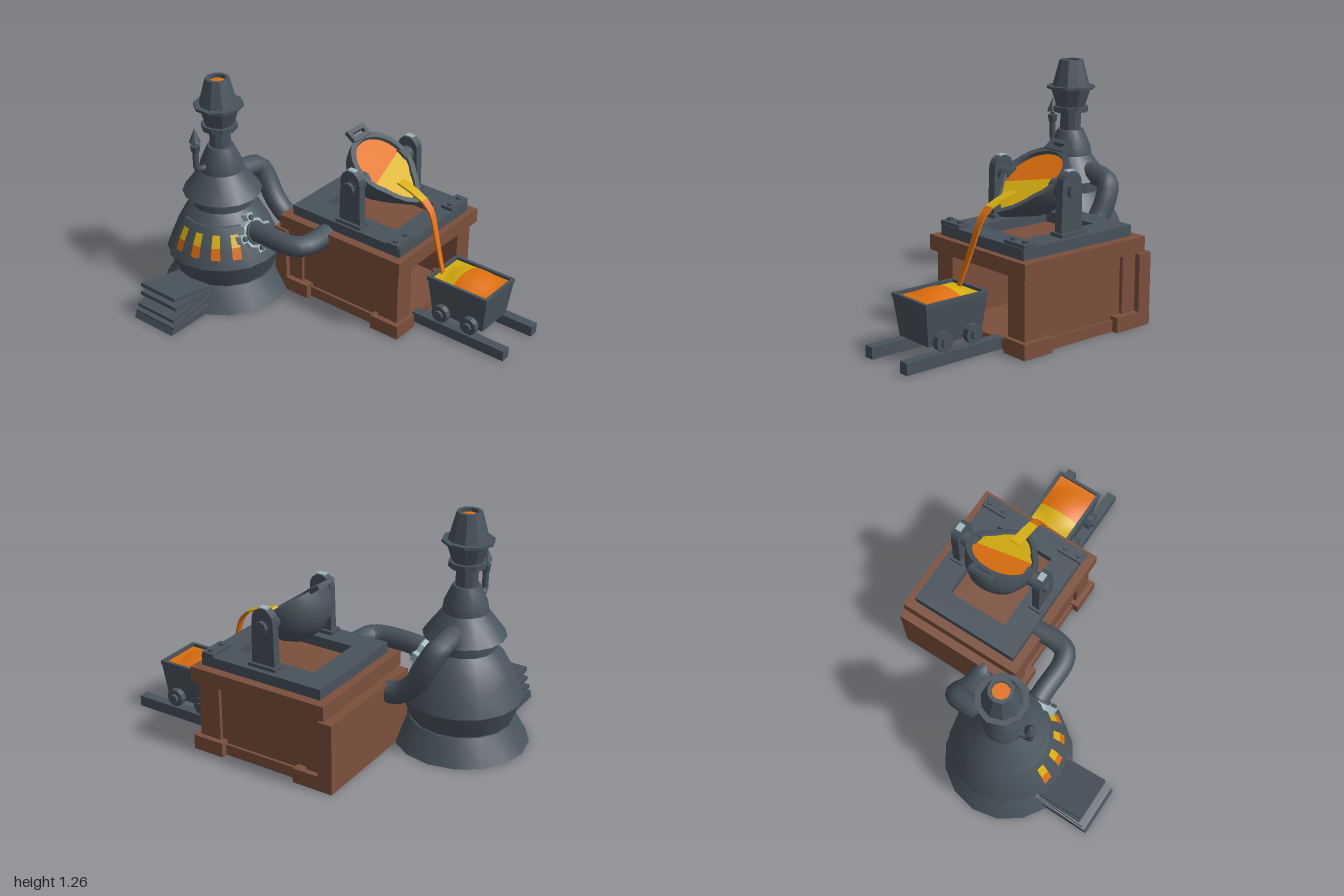
import * as THREE from 'three';
import { toCreasedNormals } from 'three/addons/utils/BufferGeometryUtils.js';

const material = (name, color, side = THREE.FrontSide) => {
  const m = new THREE.MeshStandardMaterial({ color, side });
  m.name = name;
  return m;
};
const steel = material('dark steel', 0x48535c, THREE.DoubleSide);
const pale = material('pale steel', 0x9fb6bc);
const wood = material('brown timber', 0x7c503c);
const orange = material('molten orange', 0xe0700f, THREE.DoubleSide);
const yellow = material('molten yellow', 0xd8b010, THREE.DoubleSide);

const V = (x, y, z) => new THREE.Vector3(x, y, z);

function add(parent, name, geometry, mat, x = 0, y = 0, z = 0) {
  const mesh = new THREE.Mesh(geometry, mat);
  mesh.name = name;
  mesh.position.set(x, y, z);
  parent.add(mesh);
  return mesh;
}
function group(parent, name, x = 0, y = 0, z = 0) {
  const g = new THREE.Group();
  g.name = name;
  g.position.set(x, y, z);
  parent.add(g);
  return g;
}
// Box given by its limits on each axis
function box(parent, name, mat, x0, x1, y0, y1, z0, z1) {
  return add(parent, name, new THREE.BoxGeometry(x1 - x0, y1 - y0, z1 - z0), mat,
    (x0 + x1) / 2, (y0 + y1) / 2, (z0 + z1) / 2);
}
function lathe(points, segments, start = 0, length = Math.PI * 2) {
  const g = new THREE.LatheGeometry(points.map(p => new THREE.Vector2(...p)), segments, start, length);
  return toCreasedNormals(g, 0.5);
}
function pipe(parent, name, points, radius) {
  const curve = new THREE.CatmullRomCurve3(points, false, 'centripetal');
  return add(parent, name, new THREE.TubeGeometry(curve, 20, radius, 10), steel);
}
// Cylinder lying along x
function axle(parent, name, mat, radius, length, x, y, z, sides = 12) {
  const g = new THREE.CylinderGeometry(radius, radius, length, sides).rotateZ(Math.PI / 2);
  return add(parent, name, toCreasedNormals(g, 0.6), mat, x, y, z);
}
// Flat rectangular ring lying in the xz plane, bottom at y = 0
function frame(w, d, hw, hd, height) {
  const rect = (s, a, b) => s.moveTo(-a, -b).lineTo(a, -b).lineTo(a, b).lineTo(-a, b).closePath();
  const shape = rect(new THREE.Shape(), w / 2, d / 2);
  shape.holes.push(rect(new THREE.Path(), hw / 2, hd / 2));
  return new THREE.ExtrudeGeometry(shape, { depth: height, bevelEnabled: false }).rotateX(-Math.PI / 2);
}

function buildFurnace(root) {
  const f = group(root, 'furnace', -0.14, 0, -0.64);
  const seg = Math.PI / 8;
  add(f, 'furnaceBase', lathe([[0, 0], [0.36, 0], [0.28, 0.135], [0.2, 0.135]], 16), steel);
  add(f, 'furnaceBody', lathe([[0.27, 0.13], [0.32, 0.26], [0.27, 0.38], [0.215, 0.48], [0.17, 0.53],
    [0.17, 0.6], [0.218, 0.6], [0.12, 0.73], [0.113, 0.78], [0.072, 0.87], [0.058, 0.87]], 16), steel);
  add(f, 'chimney', lathe([[0.058, 0.86], [0.058, 0.97], [0.098, 0.97], [0.098, 1.0], [0.08, 1.0],
    [0.112, 1.1], [0.135, 1.1], [0.135, 1.115], [0.105, 1.115], [0.066, 1.26], [0.046, 1.26], [0.046, 1.235]], 10), steel);
  add(f, 'chimneyGlow', new THREE.CircleGeometry(0.05, 10).rotateX(-Math.PI / 2), orange, 0, 1.24, 0);

  // Raised panel with glowing slots
  add(f, 'slotPanel', lathe([[0.3, 0.265], [0.332, 0.268], [0.282, 0.385], [0.227, 0.48], [0.2, 0.48]],
    4, -5 * seg, 4 * seg), steel);
  for (let i = 0; i < 4; i++) {
    const start = (i - 4.5) * seg - 0.085;
    const slot = (name, pts, mat) => add(f, name, lathe(pts, 1, start, 0.17), mat);
    slot('slotGlowLow', [[0.306, 0.318], [0.282, 0.38]], orange);
    slot('slotGlowHigh', [[0.282, 0.38], [0.247, 0.443]], yellow);
  }

  // Small side vent
  const vent = group(f, 'sideVent');
  pipe(vent, 'ventPipe', [V(-0.08, 0.77, -0.02), V(-0.14, 0.77, -0.02), V(-0.167, 0.79, -0.02), V(-0.17, 0.83, -0.02), V(-0.17, 0.9, -0.02)], 0.017);
  add(vent, 'ventCap', lathe([[0, 0.885], [0.022, 0.885], [0.028, 0.925], [0.012, 0.925], [0.012, 0.945],
    [0.032, 0.945], [0, 1.025]], 8), steel, -0.17, 0, -0.02);

  // Fanned stack of plates at the side
  [[-0.68, 0.195, -0.4, 0.135], [-0.68, 0.138, -0.4, 0.12], [-0.705, 0.075, -0.4, 0.125], [-0.715, 0.035, -0.4, 0.095]].forEach(([x0, y0, x1, y1], i) => {
    const plate = add(f, 'bellowsPlate', new THREE.BoxGeometry(Math.hypot(x1 - x0, y1 - y0), 0.022, 0.25 + 0.01 * i), steel,
      (x0 + x1) / 2 + 0.14, (y0 + y1) / 2, 0.005);
    plate.rotation.z = Math.atan2(y1 - y0, x1 - x0);
  });
  const foot = new THREE.Shape([[-0.73, 0], [-0.4, 0], [-0.4, 0.05], [-0.715, 0.033]].map(p => new THREE.Vector2(...p)));
  add(f, 'bellowsFoot', new THREE.ExtrudeGeometry(foot, { depth: 0.28, bevelEnabled: false }), steel, 0.14, 0, -0.135);

  // Bolted flange where the front pipe meets the body
  const flange = group(root, 'pipeFlange', -0.17, 0.42, -0.395);
  flange.rotation.x = Math.PI / 2 - 0.42;
  add(flange, 'flangeRing', toCreasedNormals(new THREE.CylinderGeometry(0.088, 0.088, 0.04, 8), 0.3), pale);
  add(flange, 'flangeCollar', new THREE.CylinderGeometry(0.07, 0.07, 0.06, 10), steel);
  for (let i = 0; i < 4; i++) {
    const a = i * Math.PI / 2;
    add(flange, 'flangeLug', new THREE.BoxGeometry(0.045, 0.045, 0.045), pale, Math.sin(a) * 0.09, 0, Math.cos(a) * 0.09);
    add(flange, 'flangeBolt', new THREE.CylinderGeometry(0.016, 0.016, 0.07, 6), steel, Math.sin(a) * 0.09, 0, Math.cos(a) * 0.09);
  }
  pipe(root, 'frontPipe', [V(-0.17, 0.42, -0.45), V(-0.17, 0.44, -0.32), V(-0.17, 0.44, -0.14), V(-0.14, 0.44, -0.08), V(-0.08, 0.44, -0.06), V(0.06, 0.44, -0.06)], 0.058);
  pipe(root, 'rearPipe', [V(-0.05, 0.64, -0.65), V(0.08, 0.635, -0.65), V(0.16, 0.61, -0.64), V(0.185, 0.54, -0.61), V(0.185, 0.42, -0.54), V(0.185, 0.345, -0.45), V(0.185, 0.325, -0.35)], 0.06);
}

function buildBench(root) {
  const b = group(root, 'bench');
  box(b, 'benchTop', wood, 0, 0.73, 0.395, 0.475, -0.345, 0.46);
  box(b, 'benchBack', wood, 0, 0.73, 0, 0.385, -0.39, -0.31);
  box(b, 'benchFloor', wood, 0.04, 0.69, 0, 0.05, -0.32, 0.43);
  for (const s of [-1, 1]) {
    const side = (name, a, c, y0, y1, z0, z1) => {
      const p = 0.365 + s * a, q = 0.365 + s * c;
      box(b, name, wood, Math.min(p, q), Math.max(p, q), y0, y1, z0, z1);
    };
    side('sideWall', 0.24, 0.315, 0.02, 0.4, -0.32, 0.41);
    side('frontPost', 0.215, 0.335, 0.05, 0.4, 0.31, 0.435);
    side('rearPost', 0.3, 0.335, 0.05, 0.4, -0.32, -0.22);
    side('sideRail', 0.3, 0.33, 0, 0.06, -0.32, 0.4);
    side('frontFoot', 0.21, 0.365, 0, 0.08, 0.28, 0.46);
    side('rearFoot', 0.25, 0.365, 0, 0.08, -0.32, -0.16);
  }
  // Steel bed with a rectangular opening
  add(b, 'steelBed', frame(0.63, 0.72, 0.35, 0.46, 0.057), steel, 0.365, 0.475, 0.065);
  for (const s of [-1, 1]) {
    const x = 0.36 + s * 0.247;
    box(b, 'clampPlate', steel, x - 0.075, x + 0.075, 0.53, 0.55, 0.35, 0.42);
    for (const d of [-0.042, 0.042])
      add(b, 'clampBolt', new THREE.CylinderGeometry(0.018, 0.018, 0.014, 6), steel, x + d, 0.556, 0.385);
  }
}

function buildLadle(root) {
  // Round-topped uprights and pivots
  const shape = new THREE.Shape();
  shape.moveTo(-0.07, 0).lineTo(0.07, 0).lineTo(0.062, 0.262).absarc(0, 0.262, 0.062, 0, Math.PI, false).closePath();
  for (const s of [-1, 1]) {
    const up = new THREE.ExtrudeGeometry(shape, { depth: 0.046, bevelEnabled: false, curveSegments: 4 })
      .translate(0, 0, -0.023).rotateY(Math.PI / 2);
    add(root, 'upright', up, steel, 0.357 + s * 0.255, 0.528, 0.073);
    box(root, 'uprightFoot', steel, 0.357 + s * 0.255 - 0.04, 0.357 + s * 0.255 + 0.04, 0.53, 0.55, -0.01, 0.155);
    axle(root, 'pivot', steel, 0.045, 0.13, 0.357 + s * 0.215, 0.755, 0.073);
    axle(root, 'pivotCap', steel, 0.036, 0.025, 0.357 + s * 0.287, 0.755, 0.073, 8);
    box(root, 'pivotTrim', pale, 0.352 + s * 0.255 - 0.012, 0.362 + s * 0.255 + 0.012, 0.842, 0.855, 0.05, 0.096);
  }

  // Tilted bowl; the rim is drawn out into a spout at the front
  const ladle = group(root, 'ladle', 0.357, 0.785, 0.08);
  ladle.rotation.x = 0.61;
  const pull = a => 0.085 * Math.pow(Math.max(0, 1 - Math.abs(a) / 0.75), 1.2);
  const g = new THREE.LatheGeometry([[0, -0.2], [0.08, -0.187], [0.14, -0.147], [0.178, -0.09], [0.194, -0.03],
    [0.2, 0.012], [0.168, 0.012], [0.16, -0.02], [0, -0.02]].map(p => new THREE.Vector2(...p)), 24);
  const p = g.attributes.position;
  for (let i = 0; i < p.count; i++) {
    const x = p.getX(i), y = p.getY(i), z = p.getZ(i), r = Math.hypot(x, z);
    if (r < 0.05) continue;
    const k = 1 + pull(Math.atan2(x, z)) * Math.min(1, Math.max(0, (y + 0.13) / 0.11)) / r;
    p.setXYZ(i, x * k, y, z * k);
  }
  add(ladle, 'bowl', toCreasedNormals(g, 0.6), steel);
  add(ladle, 'handle', frame(0.14, 0.075, 0.09, 0.022, 0.024), steel, 0, -0.004, -0.212);

  const melt = (name, a0, a1, y, mat) => {
    const pts = [];
    for (let i = 0; i < 32; i++) {
      const a = a0 + (a1 - a0) * i / 31, r = 0.164 + pull(a);
      pts.push(new THREE.Vector2(Math.sin(a) * r, Math.cos(a) * r));
    }
    add(ladle, name, new THREE.ShapeGeometry(new THREE.Shape(pts)).rotateX(Math.PI / 2), mat, 0, y, 0);
  };
  melt('moltenPool', -Math.PI, Math.PI * 0.94, -0.006, orange);
  melt('moltenPoolBright', -1.08, 1.69, -0.001, yellow);

  // Falling stream as a thin ribbon
  const stream = (name, pts, w0, w1, mat) => {
    const curve = new THREE.CatmullRomCurve3(pts);
    const ribbon = new THREE.BoxGeometry(1, 1, 0.008, 1, 10, 1);
    const q = ribbon.attributes.position;
    for (let i = 0; i < q.count; i++) {
      const t = 0.5 - q.getY(i), c = curve.getPoint(t);
      q.setXYZ(i, c.x + q.getX(i) * (w0 + (w1 - w0) * t), c.y + q.getZ(i), c.z + q.getZ(i));
    }
    ribbon.computeVertexNormals();
    add(root, name, ribbon, mat);
  };
  stream('streamTop', [V(0.357, 0.72, 0.2), V(0.352, 0.695, 0.29), V(0.35, 0.665, 0.36)], 0.06, 0.05, yellow);
  stream('streamFall', [V(0.35, 0.665, 0.36), V(0.348, 0.61, 0.412), V(0.335, 0.46, 0.465), V(0.315, 0.29, 0.525)], 0.05, 0.026, orange);
}

function buildCart(root) {
  const c = group(root, 'cart', 0.36, 0, 0.675);
  for (const s of [-1, 1]) box(root, 'rail', steel, 0.36 + s * 0.14 - 0.027, 0.36 + s * 0.14 + 0.027, 0, 0.06, 0.42, 1);
  // Tapered tub with a raised rim
  const tub = new THREE.BoxGeometry(0.268, 0.195, 0.368);
  const p = tub.attributes.position;
  for (let i = 0; i < p.count; i++)
    if (p.getY(i) < 0) p.setXYZ(i, p.getX(i) * 0.85, p.getY(i), p.getZ(i) * 0.87);
  tub.computeVertexNormals();
  add(c, 'tub', tub, steel, 0, 0.1825, 0);
  add(c, 'tubRim', frame(0.275, 0.375, 0.24, 0.34, 0.022), steel, 0, 0.28, 0);
  // Mounded contents
  const fill = (name, z0, z1, mat) => {
    const g = new THREE.PlaneGeometry(0.242, z1 - z0, 6, 6).rotateX(-Math.PI / 2).translate(0, 0, (z0 + z1) / 2);
    const q = g.attributes.position;
    for (let i = 0; i < q.count; i++) {
      const d = Math.hypot(q.getX(i) / 0.13, q.getZ(i) / 0.14);
      q.setY(i, 0.286 + 0.034 * Math.max(0, 1 - d * d));
    }
    g.computeVertexNormals();
    add(c, name, g, mat);
  };
  fill('cartMeltBright', -0.172, -0.04, yellow);
  fill('cartMelt', -0.04, 0.172, orange);
  // Wheels on two axles
  for (const z of [-0.09, 0.09]) {
    axle(c, 'axle', steel, 0.014, 0.3, 0, 0.105, z, 8);
    for (const s of [-1, 1]) {
      axle(c, 'wheel', steel, 0.05, 0.034, s * 0.137, 0.106, z, 10);
      axle(c, 'hub', steel, 0.026, 0.03, s * 0.155, 0.106, z, 8);
    }
  }
}

export function createModel() {
  const root = new THREE.Group();
  root.name = 'foundry';
  buildFurnace(root);
  buildBench(root);
  buildLadle(root);
  buildCart(root);
  return root;
}
